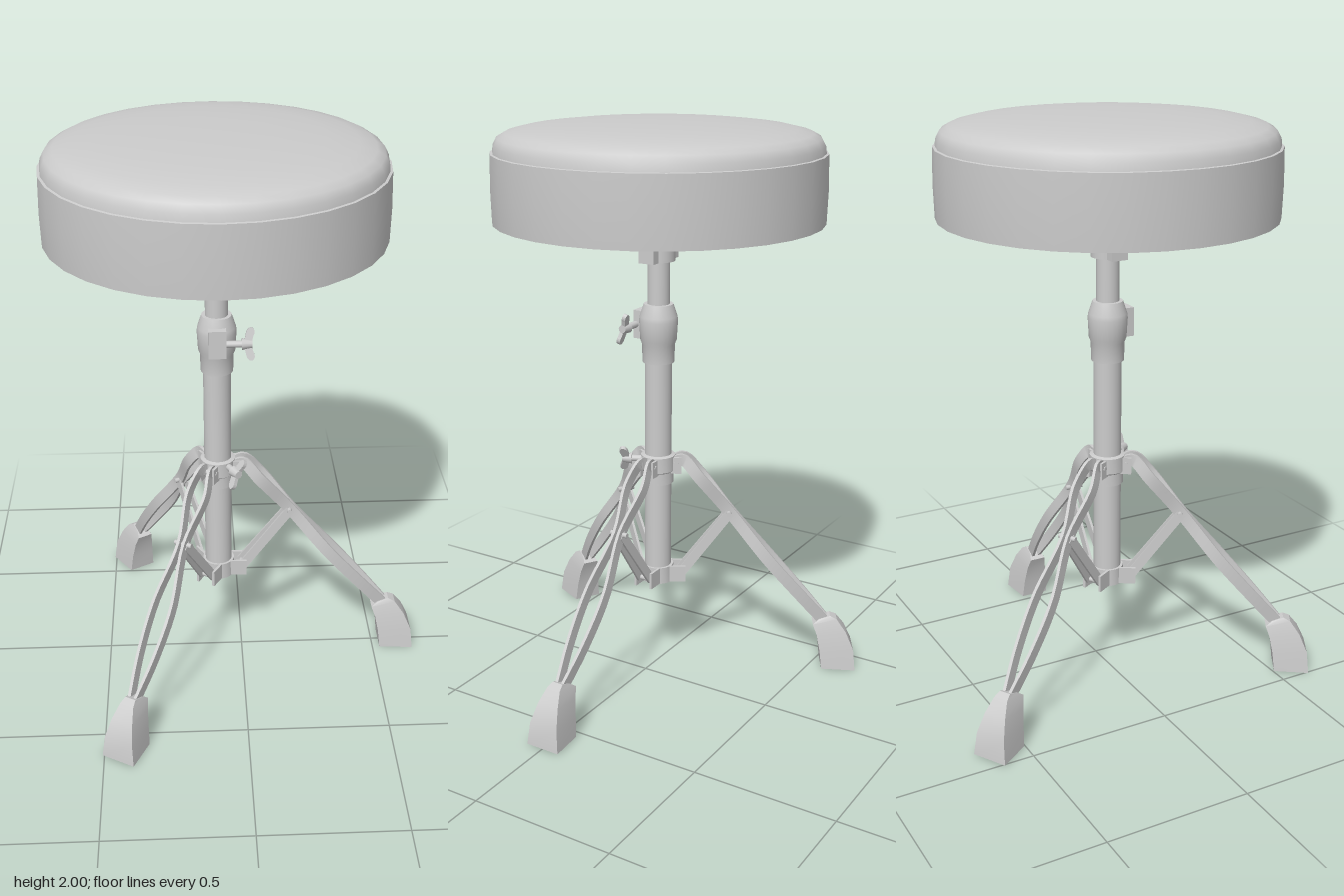
import * as THREE from 'three';
import { toCreasedNormals } from 'three/addons/utils/BufferGeometryUtils.js';

const material = new THREE.MeshStandardMaterial({ color: 0xcccccc, side: THREE.DoubleSide });

function add(parent, name, geometry, x = 0, y = 0, z = 0) {
  const mesh = new THREE.Mesh(geometry, material);
  mesh.name = name;
  mesh.position.set(x, y, z);
  parent.add(mesh);
  return mesh;
}

// Turned part from [radius, height] pairs, listed bottom to top
function turned(profile, segments = 32) {
  const lathe = new THREE.LatheGeometry(profile.map(([r, y]) => new THREE.Vector2(r, y)), segments);
  return toCreasedNormals(lathe, 0.6);
}

// Solid skin through rings of four corners, capped at both ends
function loft(rings, crease) {
  const positions = [];
  const quad = (a, b, c, d) => [a, b, c, a, c, d].forEach((p) => positions.push(...p));
  for (let k = 0; k < rings.length - 1; k++) {
    for (let i = 0; i < 4; i++) {
      const j = (i + 1) % 4;
      quad(rings[k][i], rings[k][j], rings[k + 1][j], rings[k + 1][i]);
    }
  }
  quad(...[...rings[0]].reverse());
  quad(...rings[rings.length - 1]);
  const geometry = new THREE.BufferGeometry();
  geometry.setAttribute('position', new THREE.Float32BufferAttribute(positions, 3));
  return toCreasedNormals(geometry, crease);
}

// Flat bar following a path, wide in the leg's plane and thin across it
function bar(points, width, thickness, steps) {
  const curve = new THREE.CatmullRomCurve3(points.map((p) => new THREE.Vector3(...p)));
  const rings = [];
  for (let k = 0; k <= steps; k++) {
    const p = curve.getPoint(k / steps);
    const t = curve.getTangent(k / steps);
    const n = new THREE.Vector2(-t.y, t.x).normalize().multiplyScalar(width / 2);
    rings.push([[1, 1], [-1, 1], [-1, -1], [1, -1]].map(([a, b]) =>
      [p.x + a * n.x, p.y + a * n.y, p.z + b * thickness / 2]));
  }
  return loft(rings, 0.6);
}

// Wing screw pointing along its own +z
function wingScrew(parent, name, length, tilt) {
  const screw = new THREE.Group();
  screw.name = name;
  add(screw, 'screwStem', new THREE.CylinderGeometry(0.012, 0.012, length, 12), 0, 0, length / 2)
    .rotation.x = Math.PI / 2;
  add(screw, 'screwHub', new THREE.CylinderGeometry(0.014, 0.02, 0.035, 12), 0, 0, length)
    .rotation.x = Math.PI / 2;
  const outline = new THREE.Shape();
  outline.moveTo(0, -0.012);
  outline.lineTo(0.035, -0.004);
  outline.quadraticCurveTo(0.058, 0, 0.056, 0.018);
  outline.quadraticCurveTo(0.045, 0.03, 0.03, 0.022);
  outline.lineTo(0, 0.012);
  const wing = new THREE.ExtrudeGeometry(outline, { depth: 0.014, bevelEnabled: false, curveSegments: 5 });
  wing.translate(0, 0, -0.007);
  wing.rotateX(Math.PI / 2);
  for (const side of [0, 1]) {
    const mesh = add(screw, 'screwWing', wing, 0, 0, length);
    mesh.rotation.z = tilt + side * Math.PI;
  }
  parent.add(screw);
  return screw;
}

function createLeg() {
  const leg = new THREE.Group();
  leg.name = 'leg';
  for (const s of [-1, 1]) {
    // Paired bars that bow apart and meet again
    add(leg, 'legBar', bar([
      [0.05, 0.79, s * 0.012], [0.088, 0.81, s * 0.018], [0.15, 0.745, s * 0.034],
      [0.262, 0.605, s * 0.01], [0.4, 0.435, s * 0.036], [0.52, 0.295, s * 0.03],
      [0.63, 0.165, s * 0.008],
    ], 0.042, 0.011, 32));
    add(leg, 'brace', bar([[0.262, 0.605, s * 0.014], [0.085, 0.37, s * 0.023]], 0.034, 0.009, 1));
    // Collar ears holding the bars
    add(leg, 'lowerEar', new THREE.BoxGeometry(0.065, 0.06, 0.009), 0.07, 0.37, s * 0.032);
    add(leg, 'upperEar', new THREE.BoxGeometry(0.045, 0.06, 0.009), 0.062, 0.79, s * 0.026);
  }
  for (const [x, y] of [[0.085, 0.37], [0.065, 0.795], [0.258, 0.605]]) {
    add(leg, 'rivet', new THREE.CylinderGeometry(0.009, 0.009, 0.066, 10), x, y, 0).rotation.x = Math.PI / 2;
  }
  // Rubber foot: [inner, outer, inner height, outer height, inner half width, outer half width]
  const sections = [
    [0.612, 0.735, 0, 0, 0.052, 0.062],
    [0.604, 0.727, 0.07, 0.08, 0.046, 0.054],
    [0.592, 0.698, 0.13, 0.145, 0.038, 0.04],
    [0.577, 0.665, 0.17, 0.19, 0.03, 0.026],
    [0.6, 0.64, 0.188, 0.202, 0.022, 0.02],
  ];
  add(leg, 'foot', loft(sections.map(([a, b, ya, yb, wa, wb]) =>
    [[b, yb, wb], [b, yb, -wb], [a, ya, -wa], [a, ya, wa]]), 0.4));
  return leg;
}

export function createModel() {
  const model = new THREE.Group();
  model.name = 'roundStool';
  const stool = new THREE.Group();
  stool.name = 'stool';
  stool.position.x = -0.085;
  model.add(stool);

  // Seat: banded side with a recessed underside, and a soft cushion on top
  add(stool, 'seatBand', turned([
    [0, 1.68], [0.505, 1.68], [0.505, 1.668], [0.566, 1.668], [0.569, 1.78], [0.566, 1.9], [0.556, 1.902],
  ]));
  add(stool, 'cushion', turned([
    [0.559, 1.89], [0.555, 1.925], [0.542, 1.95], [0.515, 1.965], [0.46, 1.978],
    [0.36, 1.99], [0.2, 1.998], [0, 2],
  ]));
  add(stool, 'mountingPlate', new THREE.CylinderGeometry(0.13, 0.13, 0.018, 32), 0, 1.673);

  // Clamp under the seat
  add(stool, 'seatSocket', new THREE.CylinderGeometry(0.058, 0.058, 0.14, 24), 0, 1.6);
  for (const s of [-1, 1]) {
    add(stool, 'socketLug', new THREE.BoxGeometry(0.045, 0.14, 0.06), s * 0.061, 1.6, 0);
  }

  // Column
  add(stool, 'innerPost', new THREE.CylinderGeometry(0.039, 0.039, 0.4, 24), 0, 1.49);
  add(stool, 'outerTube', turned([
    [0, 0.335], [0.048, 0.335], [0.048, 1.2], [0, 1.2],
  ], 24));
  add(stool, 'heightClamp', turned([
    [0.045, 1.17], [0.056, 1.17], [0.058, 1.235], [0.064, 1.25], [0.068, 1.32], [0.066, 1.335],
    [0.052, 1.378], [0.038, 1.378],
  ], 24));
  add(stool, 'clampEar', new THREE.BoxGeometry(0.06, 0.1, 0.05), 0, 1.3, 0.06);
  add(stool, 'legCollar', turned([
    [0.045, 0.722], [0.056, 0.722], [0.056, 0.765], [0.062, 0.77], [0.062, 0.825], [0.045, 0.83],
  ], 24));
  add(stool, 'baseCollar', turned([
    [0.045, 0.338], [0.057, 0.338], [0.057, 0.4], [0.045, 0.4],
  ], 24));

  // Wing screws
  wingScrew(stool, 'seatScrew', 0.06, 0.9).position.set(0.02, 1.6, 0.04);
  const heightScrew = wingScrew(stool, 'heightScrew', 0.07, 1.3);
  heightScrew.position.set(0.03, 1.3, 0.075);
  heightScrew.rotation.y = Math.PI / 2;
  const collarScrew = wingScrew(stool, 'collarScrew', 0.055, 1.05);
  collarScrew.position.set(0.035, 0.81, 0.045);
  collarScrew.rotation.y = 0.5;

  // Three legs, evenly spaced
  for (let i = 0; i < 3; i++) {
    const leg = createLeg();
    leg.rotation.y = i * Math.PI * 2 / 3;
    stool.add(leg);
  }
  return model;
}
